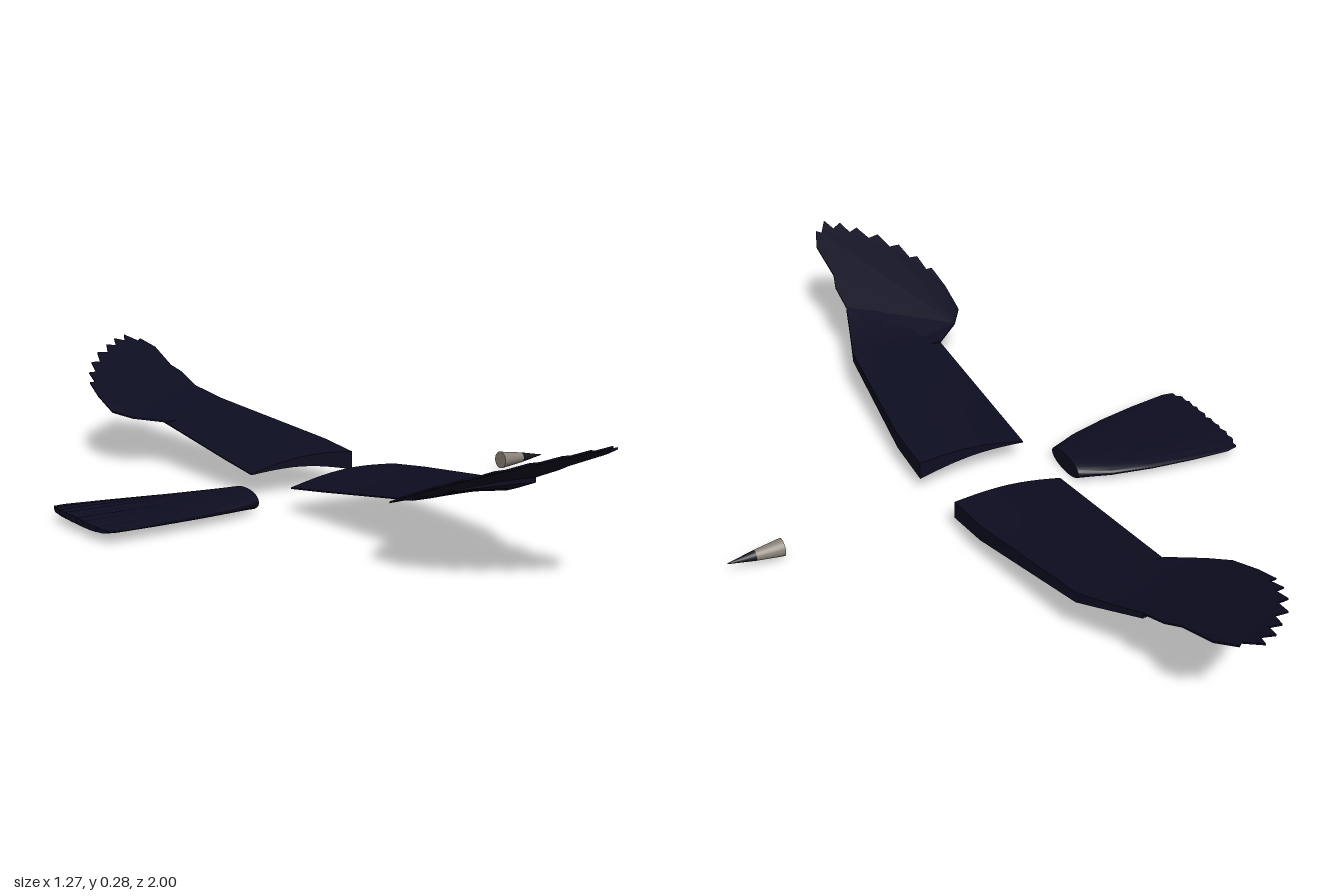
import * as THREE from 'three';
import { toCreasedNormals } from 'three/addons/utils/BufferGeometryUtils.js';

// Closed loft through rings; each ring runs along the top and back along the bottom.
function loft(rings) {
  const n = rings[0].length, pos = rings.flat(2), idx = [];
  for (let r = 0; r < rings.length - 1; r++) {
    for (let i = 0; i < n; i++) {
      const j = (i + 1) % n, a = r * n, b = a + n;
      idx.push(a + i, a + j, b + j, a + i, b + j, b + i);
    }
  }
  const e = (rings.length - 1) * n;
  for (let i = 0; i < n / 2 - 1; i++) {
    const a = i, b = i + 1, c = n - 2 - i, d = n - 1 - i;
    idx.push(a, c, b, a, d, c, e + a, e + b, e + c, e + a, e + c, e + d);
  }
  const g = new THREE.BufferGeometry();
  g.setAttribute('position', new THREE.Float32BufferAttribute(pos, 3));
  g.setIndex(idx);
  return toCreasedNormals(g, 0.6);
}

function mesh(name, geometry, material) {
  const m = new THREE.Mesh(geometry, material);
  m.name = name;
  return m;
}

// Cambered inner wing with a blunt leading edge
function armGeometry() {
  // z, leading x, trailing x, leading bottom, leading top, trailing y, camber
  const stations = [
    [0.088, 0.12, -0.158, 0.040, 0.084, 0.056, 0.014],
    [0.21, 0.12, -0.158, 0.057, 0.097, 0.071, 0.012],
    [0.55, 0.08, -0.156, 0.109, 0.134, 0.116, 0.006],
    [0.62, 0.055, -0.165, 0.131, 0.149, 0.135, 0.003],
    [0.71, 0.024, -0.175, 0.161, 0.175, 0.166, 0.001],
  ];
  const N = 10;
  return loft(stations.map(([z, xl, xt, yb, yt, ye, c]) => {
    const top = [], bottom = [];
    for (let i = 0; i <= N; i++) {
      const u = i / N, x = xl + (xt - xl) * u, bow = c * Math.sin(Math.PI * u);
      top.push([x, yt + (ye + 0.003 - yt) * u + bow, z]);
      bottom.unshift([x, yb + (ye - yb) * u + bow, z]);
    }
    return [...top, ...bottom];
  }));
}

// Thin outer wing with notched feather tips
function handGeometry() {
  const tips = [[-0.008, 0.972], [-0.045, 1.0], [-0.083, 0.982], [-0.12, 0.953],
    [-0.165, 0.915], [-0.205, 0.866], [-0.235, 0.815]];
  const pts = [[0.07, 0.56], [0.024, 0.71], [0.023, 0.78], [0.01, 0.82], [0.013, 0.92]];
  tips.forEach(([x, z], i) => {
    pts.push([x, z]);
    const next = tips[i + 1] || [-0.255, 0.767];
    pts.push([(x + next[0]) / 2 + 0.006, (z + next[1]) / 2 - 0.024]);
  });
  pts.push([-0.255, 0.767], [-0.262, 0.7], [-0.26, 0.62], [-0.225, 0.575], [-0.155, 0.52], [0, 0.53]);
  const shape = new THREE.Shape(pts.map(([x, z]) => new THREE.Vector2(x, -z)));
  const g = new THREE.ExtrudeGeometry(shape, { depth: 0.004, bevelEnabled: false });
  g.rotateX(-Math.PI / 2);
  // Sweep the feathers upward toward the tip
  const p = g.attributes.position;
  for (let i = 0; i < p.count; i++) {
    const z = p.getZ(i);
    const rise = z < 0.6 ? 0.116 + (z - 0.52) * 0.16 : 0.129 + (z - 0.6) * 0.385;
    p.setY(i, p.getY(i) + rise);
  }
  g.computeVertexNormals();
  return g;
}

// Fanned tail, round at the root, flat and scalloped at the end
function tailGeometry() {
  // x, half width, half height, feather strength
  const stations = [
    [-0.225, 0.062, 0.023, 0], [-0.3, 0.094, 0.017, 0.1], [-0.4, 0.119, 0.012, 0.3],
    [-0.5, 0.135, 0.009, 0.6], [-0.6, 0.145, 0.007, 0.9], [-0.634, 0.14, 0.006, 1],
  ];
  const N = 36;
  return loft(stations.map(([x, w, h, f], s) => {
    const top = [], bottom = [];
    for (let i = 0; i <= N; i++) {
      const t = Math.cos(Math.PI * i / N);
      const ripple = Math.abs(Math.sin(t * Math.PI * 4.5));
      const half = h * Math.sqrt(Math.max(0, 1 - t * t)) + 0.001;
      const mid = 0.028 + f * 0.003 * (ripple - 0.5);
      const xe = s === stations.length - 1 ? x - 0.006 * ripple + 0.014 * t ** 6 : x;
      top.push([xe, mid + half, w * t]);
      bottom.unshift([xe, mid - half, w * t]);
    }
    return [...top, ...bottom];
  }));
}

// Tapered section of the beak along x
function beakPart(name, x0, x1, r0, r1, material) {
  const g = new THREE.CylinderGeometry(r1, r0, x1 - x0, 20);
  g.rotateZ(-Math.PI / 2);
  const m = mesh(name, g, material);
  m.position.set((x0 + x1) / 2, 0.0365, 0);
  return m;
}

export function createModel() {
  const feathers = new THREE.MeshStandardMaterial({ color: 0x0d0d21, side: THREE.DoubleSide });
  feathers.name = 'darkFeathers';
  const horn = new THREE.MeshStandardMaterial({ color: 0x8a8278 });
  horn.name = 'paleHorn';
  const tip = new THREE.MeshStandardMaterial({ color: 0x17161c });
  tip.name = 'darkHorn';

  const model = new THREE.Group();
  model.name = 'bird';
  const arm = armGeometry(), hand = handGeometry();
  for (const side of [1, -1]) {
    const wing = new THREE.Group();
    wing.name = side > 0 ? 'wingFront' : 'wingBack';
    wing.add(mesh('innerWing', arm, feathers), mesh('wingFeathers', hand, feathers));
    wing.scale.z = side;
    model.add(wing);
  }
  model.add(mesh('tail', tailGeometry(), feathers));

  const beak = new THREE.Group();
  beak.name = 'beak';
  beak.add(beakPart('beakBase', 0.505, 0.57, 0.021, 0.0125, horn));
  beak.add(beakPart('beakTip', 0.57, 0.635, 0.0125, 0.0008, tip));
  model.add(beak);
  return model;
}
